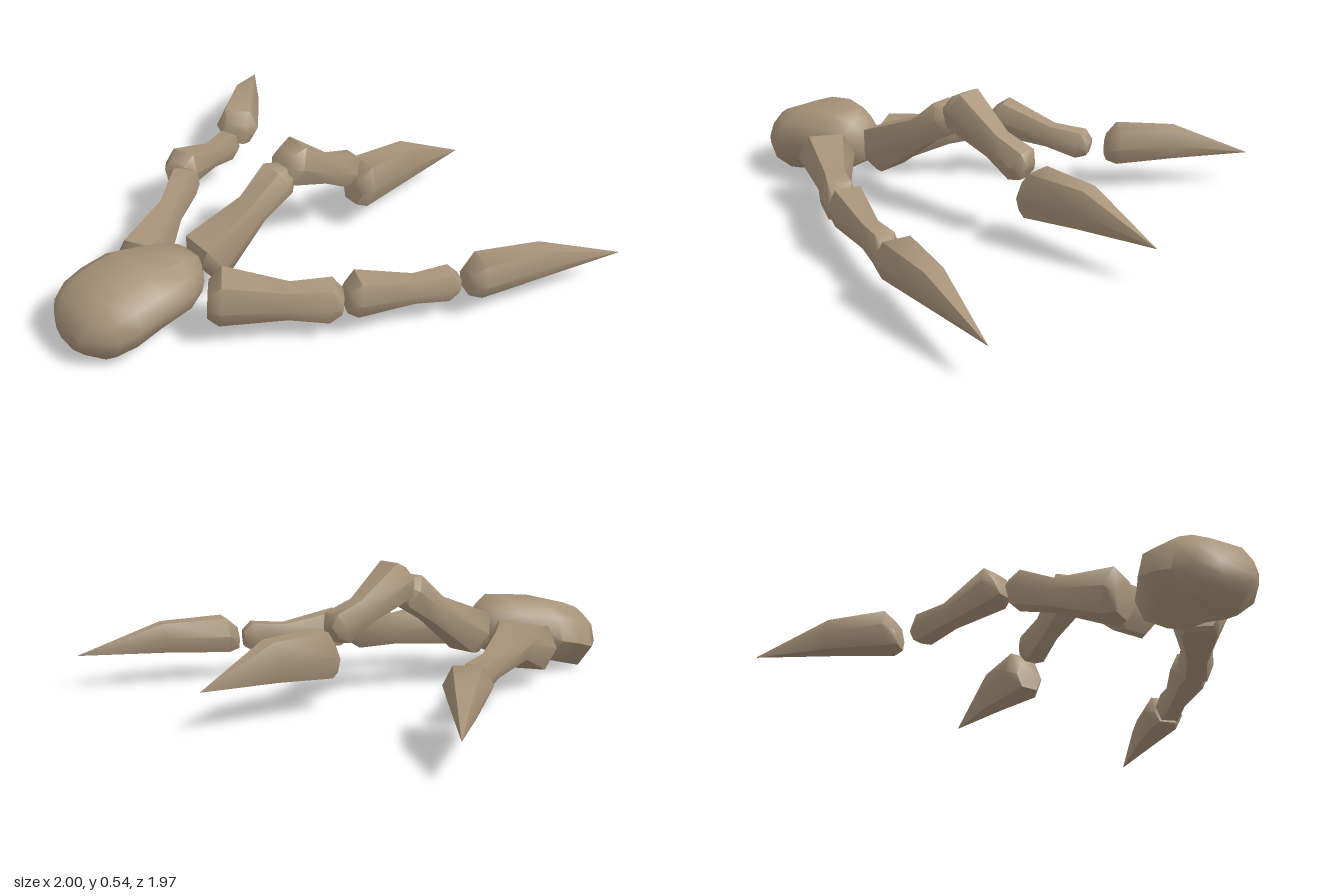
import * as THREE from 'three';
import { toCreasedNormals } from 'three/addons/utils/BufferGeometryUtils.js';

const bone = new THREE.MeshStandardMaterial({ color: 0xa8937a });
bone.name = 'bone';

// Cross-sections in unit (right, up) coordinates, counter-clockwise
const HEX = [[1, 0], [0.6, 1], [-0.6, 1], [-1, 0], [-0.6, -1], [0.6, -1]];
const OCT = [[1, 0.1], [0.85, 0.6], [0.5, 1], [-0.5, 0.95], [-0.88, 0.5],
  [-1, -0.25], [-0.6, -0.95], [0.45, -1], [0.85, -0.5]];

// Loft along start -> end; rows are [distance, side offset, half width, low, high]
function loft(name, start, end, rows, section) {
  const s = new THREE.Vector3(...start);
  const f = new THREE.Vector3(...end).sub(s).normalize();
  const right = new THREE.Vector3().crossVectors(f, new THREE.Vector3(0, 1, 0)).normalize();
  const up = new THREE.Vector3().crossVectors(right, f);
  const pos = [], idx = [], n = section.length;
  const put = (d, x, y) => {
    const p = s.clone().addScaledVector(f, d).addScaledVector(right, x).addScaledVector(up, y);
    pos.push(p.x, p.y, p.z);
  };
  for (const [d, cx, w, lo, hi] of rows)
    for (const [u, v] of section) put(d, cx + u * w, (lo + hi) / 2 + v * (hi - lo) / 2);
  for (let i = 0; i < rows.length - 1; i++)
    for (let k = 0; k < n; k++) {
      const a = i * n + k, b = i * n + (k + 1) % n;
      idx.push(a, a + n, b, b, a + n, b + n);
    }
  // End caps
  const last = (rows.length - 1) * n;
  for (let k = 1; k < n - 1; k++) idx.push(0, k, k + 1, last, last + k + 1, last + k);
  const g = new THREE.BufferGeometry();
  g.setAttribute('position', new THREE.Float32BufferAttribute(pos, 3));
  g.setIndex(idx);
  const mesh = new THREE.Mesh(toCreasedNormals(g, 0.95), bone);
  mesh.name = name;
  return mesh;
}

const dist = (a, b) => new THREE.Vector3(...a).distanceTo(new THREE.Vector3(...b));

// Knuckle bone: wide base, dipped shaft, rounded tip
function phalanx(name, a, b, w0, h0, w1, h1) {
  const L = dist(a, b), wm = w1 * 0.86;
  return loft(name, a, b, [
    [0, 0, w0 * 0.7, -h0 * 0.75, h0 * 0.45],
    [0.09 * L, 0, w0, -h0 * 0.95, h0],
    [0.6 * L, 0, wm, -h1 * 0.95, h1 * 0.72],
    [0.91 * L, 0, w1, -h1, h1 * 1.05],
    [L, 0, w1 * 0.65, -h1 * 0.6, h1 * 0.5],
  ], HEX);
}

// Pointed claw with an arched back
function claw(name, a, b, w, h) {
  const L = dist(a, b);
  return loft(name, a, b, [
    [0, 0, w * 0.65, -h * 0.75, h * 0.4],
    [0.07 * L, 0, w, -h * 0.85, h],
    [0.47 * L, 0, w * 0.68, -h * 0.42, h * 1.15],
    [L, 0, 0.001, -0.001, 0.001],
  ], HEX);
}

export function createModel() {
  const model = new THREE.Group();
  model.name = 'clawedFoot';

  // Palm, lofted from front to back
  model.add(loft('palm', [0, 0, 0], [0, 0, -1], [
    [-0.985, 0.06, 0.08, 0.07, 0.15],
    [-0.95, 0.05, 0.145, 0.04, 0.23],
    [-0.88, 0.055, 0.2, 0, 0.27],
    [-0.8, 0.065, 0.215, 0.02, 0.3],
    [-0.69, 0.065, 0.21, 0.05, 0.315],
    [-0.55, 0.11, 0.155, 0.08, 0.33],
    [-0.47, 0.11, 0.105, 0.11, 0.3],
    [-0.43, 0.1, 0.05, 0.15, 0.26],
  ], OCT));

  // Each finger: two bones [start, end, base w, base h, tip w, tip h] and a claw [start, tip, w, h]
  const fingers = {
    right: [
      [[-0.1, 0.13, 0.56], [-0.34, 0.27, 0.14], 0.11, 0.095, 0.065, 0.068],
      [[-0.39, 0.27, 0.17], [-0.54, 0.175, -0.23], 0.08, 0.075, 0.058, 0.055],
      [[-0.585, 0.19, -0.285], [-1, 0.14, -0.71], 0.092, 0.08],
    ],
    middle: [
      [[0.085, 0.18, 0.4], [0.08, 0.44, -0.03], 0.115, 0.095, 0.078, 0.068],
      [[0.075, 0.485, -0.02], [0.075, 0.29, -0.39], 0.088, 0.085, 0.065, 0.065],
      [[0.08, 0.215, -0.39], [0.08, 0.15, -0.985], 0.092, 0.1],
    ],
    left: [
      [[0.285, 0.205, 0.505], [0.585, 0.17, 0.1], 0.115, 0.092, 0.075, 0.075],
      [[0.585, 0.19, 0.085], [0.765, 0.165, -0.325], 0.085, 0.078, 0.06, 0.06],
      [[0.785, 0.185, -0.35], [1, 0.14, -0.98], 0.09, 0.078],
    ],
  };
  for (const [side, [base, mid, tip]] of Object.entries(fingers)) {
    const finger = new THREE.Group();
    finger.name = side + 'Finger';
    finger.add(phalanx(side + 'BaseBone', ...base), phalanx(side + 'MiddleBone', ...mid),
      claw(side + 'Claw', ...tip));
    model.add(finger);
  }
  return model;
}
